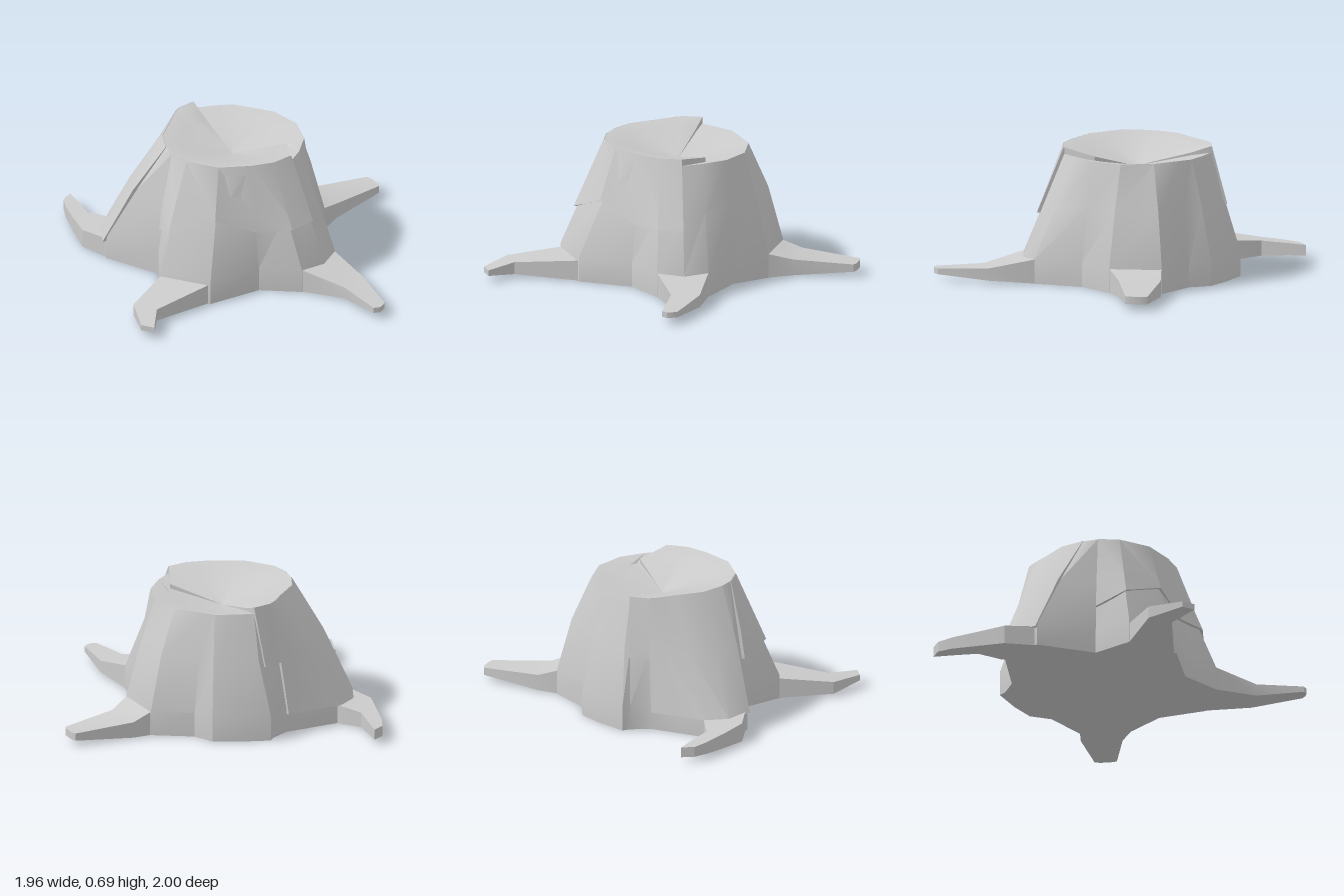
import * as THREE from 'three';
import { toCreasedNormals } from 'three/addons/utils/BufferGeometryUtils.js';

const material = new THREE.MeshStandardMaterial({ color: 0xcccccc });
const V = (x, y, z) => new THREE.Vector3(x, y, z);
const AXIS = V(0.04, 0, -0.055);
const HIGH = 0.69, LOW = 0.655, LEDGE = 0.13, MID = 0.42;

// Joins closed rings of equal length and caps both ends
function loft(name, rings) {
  const pos = [];
  const tri = (...pts) => pts.forEach(p => pos.push(p.x, p.y, p.z));
  const n = rings[0].length;
  for (let r = 0; r < rings.length - 1; r++) {
    for (let i = 0; i < n; i++) {
      const j = (i + 1) % n, lo = rings[r], hi = rings[r + 1];
      tri(lo[j], lo[i], hi[i]);
      tri(lo[j], hi[i], hi[j]);
    }
  }
  const cap = (ring, flip) => {
    const c = V(0, 0, 0);
    ring.forEach(p => c.addScaledVector(p, 1 / n));
    ring.forEach((p, i) => {
      const q = ring[(i + 1) % n];
      flip ? tri(c, p, q) : tri(c, q, p);
    });
  };
  cap(rings[0], true);
  cap(rings[rings.length - 1], false);
  const geo = new THREE.BufferGeometry();
  geo.setAttribute('position', new THREE.Float32BufferAttribute(pos, 3));
  const mesh = new THREE.Mesh(toCreasedNormals(geo, 0.5), material);
  mesh.name = name;
  return mesh;
}

// Trunk columns: base x, base z, rim x, rim z, rim height, bulge at mid height
const COLUMNS = [
  [0.18, -0.55, 0.19, -0.42, LOW, 0.45],
  [0.22, -0.57, 0.21, -0.40, LOW, 0.45],
  [0.35, -0.46, 0.27, -0.35, LOW, 0.5],
  [0.44, -0.36, 0.34, -0.28, LOW, 0.5],
  [0.45, -0.24, 0.36, -0.22, LOW, 0.5],
  [0.59, -0.06, 0.41, -0.06, LOW, 0.57],
  [0.50, 0.20, 0.38, 0.11, LOW, 0.5],
  [0.31, 0.30, 0.28, 0.235, LOW, 0.5],
  [0.17, 0.52, 0.15, 0.30, LOW, 0.42],
  [0.04, 0.55, 0.04, 0.33, LOW, 0.45],
  [0.04, 0.55, 0.04, 0.33, HIGH, 0.45],
  [-0.10, 0.51, -0.07, 0.305, HIGH, 0.42],
  [-0.22, 0.32, -0.17, 0.235, HIGH, 0.4],
  [-0.49, 0.21, -0.29, 0.11, HIGH, 0.35],
  [-0.57, -0.06, -0.34, -0.06, HIGH, 0.45],
  [-0.40, -0.20, -0.32, -0.17, HIGH, 0.5],
  [-0.43, -0.52, -0.28, -0.24, HIGH, 0.5],
  [-0.33, -0.62, -0.19, -0.33, HIGH, 0.5],
  [-0.21, -0.64, -0.04, -0.39, HIGH, 0.47],
  [-0.07, -0.59, 0.05, -0.43, HIGH, 0.47],
  [0.07, -0.54, 0.09, -0.44, HIGH, 0.47],
  [0.18, -0.55, 0.19, -0.42, HIGH, 0.45],
];

// Point on the trunk wall at a height, pushed outward by an offset
function wall([bx, bz, tx, tz, top, bulge], y, out = 0) {
  const t = y <= LEDGE ? 1
    : y <= MID ? THREE.MathUtils.mapLinear(y, LEDGE, MID, 1, bulge)
      : THREE.MathUtils.mapLinear(y, MID, top, bulge, 0);
  const p = V(tx + (bx - tx) * t, y, tz + (bz - tz) * t);
  const dir = V(p.x - AXIS.x, 0, p.z - AXIS.z).normalize();
  return p.addScaledVector(dir, out);
}

// Trunk with a hollowed top; the step between its halves kinks at the front
function makeTrunk() {
  const rings = [0, LEDGE, MID].map(y => COLUMNS.map(c => wall(c, y)));
  const rim = COLUMNS.map(c => wall(c, c[4]));
  const inner = rim.map(p => p.clone().lerp(V(AXIS.x, p.y - 0.06, AXIS.z), 0.25));
  inner[8].set(0.19, LOW - 0.02, 0.2);
  inner[9].set(0.17, LOW - 0.02, 0.2);
  inner[10].set(0.17, HIGH - 0.03, 0.2);
  inner[21].y = LOW;
  const centre = rim.map(() => V(AXIS.x, 0.575, AXIS.z));
  return loft('trunk', [...rings, rim, inner, centre]);
}

// Raised slab of bark following the wall from the rim to a ragged lower edge
function makeBark(name, first, edges, out) {
  return loft(name, edges.map((low, i) => {
    const c = COLUMNS[first + i], m = Math.max(low + 0.02, MID);
    return [wall(c, low, out), wall(c, m, out), wall(c, c[4], 0.004),
      wall(c, c[4] - 0.02, -0.03), wall(c, low, -0.03)];
  }).reverse());
}

// Root from pairs of side points: xa, za, xb, zb, bottom, top
function makeRoot(name, sections) {
  return loft(name, sections.map(([xa, za, xb, zb, bottom, top]) =>
    [V(xa, bottom, za), V(xa, top, za), V(xb, top, zb), V(xb, bottom, zb)]));
}

export function createModel() {
  const group = new THREE.Group();
  group.name = 'treeStump';
  group.add(
    makeTrunk(),
    makeBark('frontBark', 10, [0.35, 0.34, 0.33, 0.42, 0.33, 0.27], 0.018),
    makeBark('backBark', 16, [0.1, 0.1, 0.1, 0.1, 0.1], 0.018),
    makeBark('backBarkCorner', 20, [0.38, 0.38], 0.018),
    makeRoot('leftRoot', [
      [0.49, 0.20, 0.58, -0.06, 0, 0.13],
      [0.63, 0.18, 0.69, -0.03, 0.005, 0.09],
      [0.94, 0.22, 0.98, 0.11, 0.03, 0.07],
      [0.955, 0.205, 0.98, 0.14, 0.03, 0.07],
    ]),
    makeRoot('frontRoot', [
      [-0.10, 0.50, 0.17, 0.51, 0, 0.13],
      [-0.04, 0.74, 0.11, 0.75, 0.015, 0.08],
      [-0.10, 0.98, -0.02, 0.99, 0.035, 0.065],
      [-0.075, 1.0, -0.05, 1.0, 0.035, 0.065],
    ]),
    makeRoot('rightRoot', [
      [-0.56, -0.06, -0.48, 0.20, 0, 0.11],
      [-0.85, -0.02, -0.82, 0.11, 0.015, 0.08],
      [-0.98, 0.13, -0.96, 0.20, 0.035, 0.065],
    ]),
    makeRoot('backRoot', [
      [-0.21, -0.60, -0.42, -0.52, 0, 0.11],
      [-0.21, -0.66, -0.41, -0.69, 0, 0.1],
      [-0.23, -0.79, -0.32, -0.82, 0.01, 0.09],
      [-0.16, -0.91, -0.24, -0.93, 0.02, 0.085],
      [-0.11, -1.0, -0.18, -0.99, 0.025, 0.08],
    ]),
  );
  return group;
}
